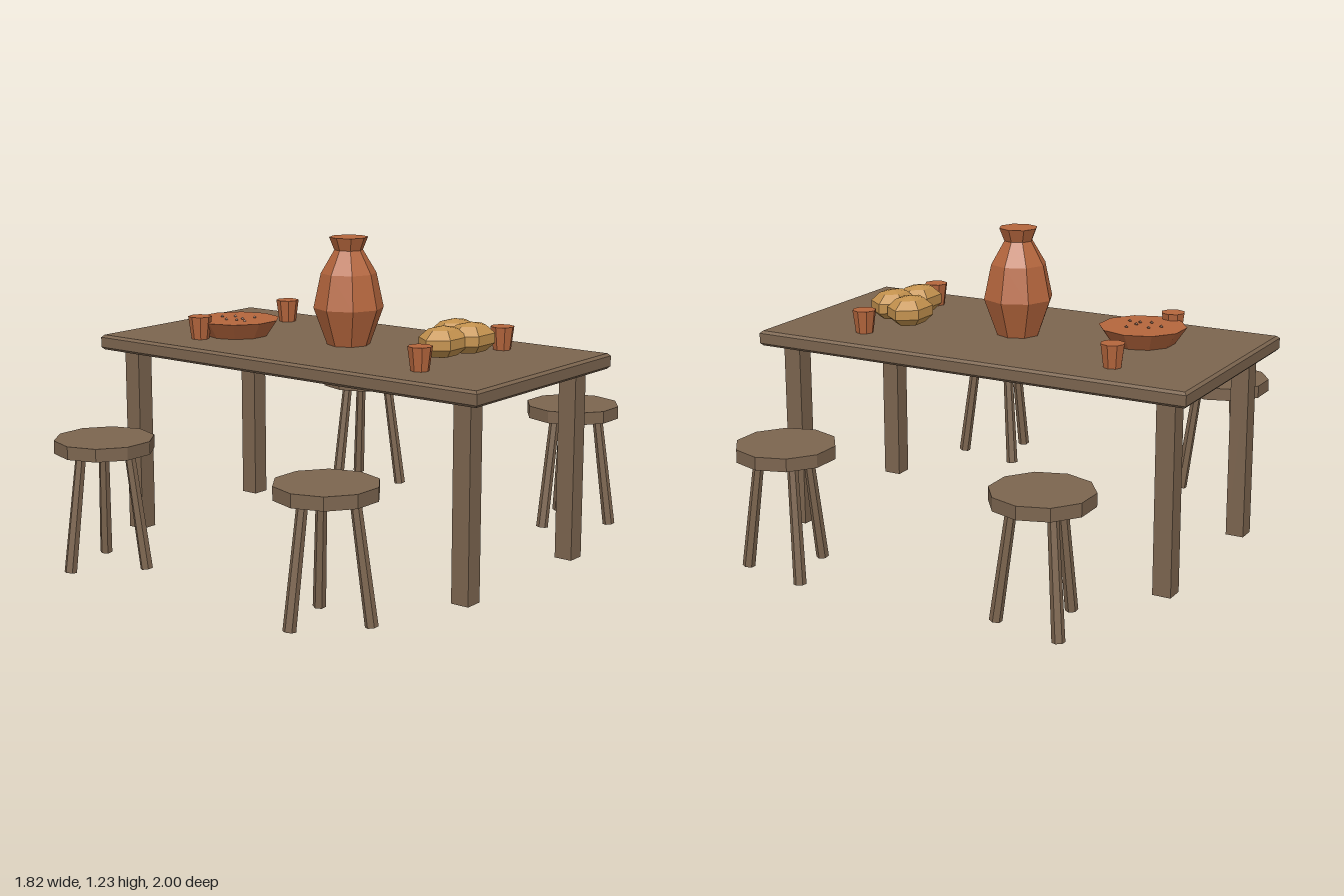
import * as THREE from 'three';

const mat = (name, color) => {
  const m = new THREE.MeshStandardMaterial({ color, flatShading: true });
  m.name = name;
  return m;
};

export function createModel() {
  const wood = mat('wood', 0x7c654f);
  const clay = mat('terracotta', 0xb5663d);
  const crust = mat('bread crust', 0xc4924e);
  const grain = mat('grain', 0x8a5a3c);

  const model = new THREE.Group();
  model.name = 'diningSet';

  const add = (parent, name, geometry, material, x = 0, y = 0, z = 0) => {
    const mesh = new THREE.Mesh(geometry, material);
    mesh.name = name;
    mesh.position.set(x, y, z);
    parent.add(mesh);
    return mesh;
  };

  // Table top: a slab with chamfered edges
  const TOP = 0.81, B = 0.01, W = 0.91 - B, D = 0.455 - B;
  const outline = new THREE.Shape([
    new THREE.Vector2(-W, -D), new THREE.Vector2(W, -D),
    new THREE.Vector2(W, D), new THREE.Vector2(-W, D),
  ]);
  const slab = new THREE.ExtrudeGeometry(outline, {
    depth: 0.04, bevelEnabled: true, bevelThickness: B, bevelSize: B, bevelSegments: 1,
  });
  slab.rotateX(-Math.PI / 2);
  add(model, 'tableTop', slab, wood, 0, 0.76, 0);

  // Table legs
  const legGeo = new THREE.BoxGeometry(0.073, 0.745, 0.073);
  for (const x of [-0.805, 0.805])
    for (const z of [-0.352, 0.352]) add(model, 'tableLeg', legGeo, wood, x, 0.3805, z);

  // Stools: ten-sided seat on three splayed legs
  const seatGeo = new THREE.CylinderGeometry(0.19, 0.19, 0.05, 10);
  const up = new THREE.Vector3(0, 1, 0);
  const makeStool = (x, z) => {
    const stool = new THREE.Group();
    stool.name = 'stool';
    stool.position.set(x, 0, z);
    add(stool, 'seat', seatGeo, wood, 0, 0.48, 0);
    for (const deg of [102, 222, 342]) {
      const a = THREE.MathUtils.degToRad(deg), c = Math.cos(a), s = Math.sin(a);
      const foot = new THREE.Vector3(c * 0.165, 0.008, s * 0.165);
      const head = new THREE.Vector3(c * 0.103, 0.465, s * 0.103);
      const dir = head.clone().sub(foot);
      const leg = add(stool, 'stoolLeg',
        new THREE.CylinderGeometry(0.02, 0.024, dir.length(), 6), wood);
      leg.position.copy(foot).add(head).multiplyScalar(0.5);
      leg.quaternion.setFromUnitVectors(up, dir.normalize());
    }
    model.add(stool);
  };
  for (const x of [-0.538, 0.538])
    for (const z of [-0.81, 0.81]) makeStool(x, z);

  // Jug
  const profile = [[0, 0], [0.085, 0], [0.138, 0.145], [0.109, 0.28], [0.056, 0.37], [0.076, 0.42], [0, 0.42]];
  add(model, 'jug', new THREE.LatheGeometry(profile.map(([r, y]) => new THREE.Vector2(r, y)), 8),
    clay, 0, TOP, 0);

  // Cups, one for each stool
  const cupGeo = new THREE.CylinderGeometry(0.047, 0.035, 0.09, 8);
  for (const x of [-0.538, 0.538])
    for (const z of [-0.27, 0.27]) add(model, 'cup', cupGeo, clay, x, TOP + 0.045, z);

  // Dish with a few grains on top
  add(model, 'dish', new THREE.CylinderGeometry(0.17, 0.125, 0.065, 10), clay, -0.484, TOP + 0.0325, 0.107);
  const grainGeo = new THREE.OctahedronGeometry(0.008);
  for (const [x, z] of [[-0.44, 0.053], [-0.52, 0.08], [-0.455, 0.11], [-0.555, 0.12], [-0.41, 0.148], [-0.497, 0.16], [-0.455, 0.145]])
    add(model, 'grain', grainGeo, grain, x, TOP + 0.067, z);

  // Loaves: faceted, long along z
  const loafGeo = new THREE.SphereGeometry(1, 6, 5);
  loafGeo.rotateY(Math.PI / 2);
  loafGeo.scale(0.087, 0.061, 0.115);
  for (const [x, y, z] of [[0.422, 0.878, -0.118], [0.53, 0.882, -0.068], [0.49, 0.88, 0.058]])
    add(model, 'loaf', loafGeo, crust, x, y, z);

  return model;
}
